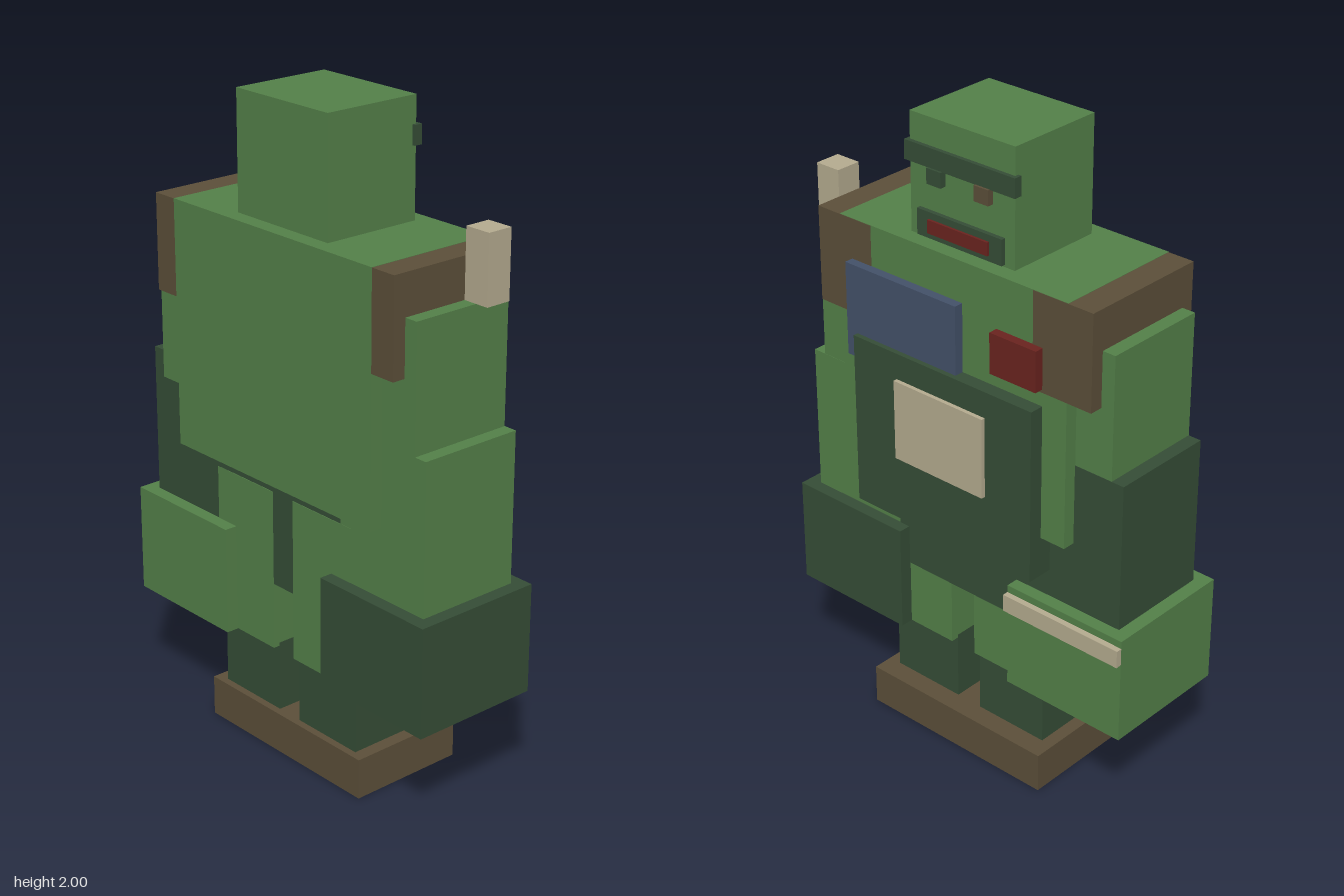
import * as THREE from 'three';

const material = (name, color) => {
  const m = new THREE.MeshStandardMaterial({ color });
  m.name = name;
  return m;
};

export function createModel() {
  const green = material('green', 0x55824a);
  const darkGreen = material('dark green', 0x364e37);
  const brown = material('brown', 0x5d503a);
  const bone = material('bone', 0xb7ad91);
  const blue = material('slate blue', 0x44526a);
  const red = material('dark red', 0x6b241f);

  const model = new THREE.Group();
  model.name = 'blockFigure';

  // Box given by its extents on each axis
  const box = (name, mat, [x0, x1], [y0, y1], [z0, z1], parent = model) => {
    const mesh = new THREE.Mesh(new THREE.BoxGeometry(x1 - x0, y1 - y0, z1 - z0), mat);
    mesh.position.set((x0 + x1) / 2, (y0 + y1) / 2, (z0 + z1) / 2);
    mesh.name = name;
    parent.add(mesh);
  };
  const part = (name) => {
    const g = new THREE.Group();
    g.name = name;
    model.add(g);
    return g;
  };
  // Extents mirrored to the given side
  const span = (s, a, b) => (s > 0 ? [a, b] : [-b, -a]);

  // Base, pelvis and torso
  box('base', brown, [-0.335, 0.335], [0, 0.127], [-0.18, 0.198]);
  box('pelvis', darkGreen, [-0.25, 0.25], [0.55, 0.9], [-0.142, 0.194]);
  box('torso', green, [-0.42, 0.42], [0.89, 1.645], [-0.181, 0.238]);

  // Limbs and shoulders
  for (const s of [1, -1]) {
    const side = s > 0 ? 'left' : 'right';
    const leg = part(side + 'Leg');
    box('shin', darkGreen, span(s, 0.045, 0.294), [0.127, 0.35], [-0.115, 0.175], leg);
    box('thigh', green, span(s, 0.045, 0.295), [0.34, 0.845], [-0.14, 0.196], leg);

    const arm = part(side + 'Arm');
    box('shoulderPad', brown, span(s, 0.3, 0.505), [1.35, 1.644], [-0.182, 0.237], arm);
    box('upperArm', green, span(s, 0.3, 0.548), [1.055, 1.52], [-0.14, 0.196], arm);
    box('forearm', s > 0 ? green : darkGreen, span(s, 0.25, 0.59), [0.6, 1.14], [-0.141, 0.195], arm);
    box('fist', s > 0 ? darkGreen : green, span(s, 0.213, 0.632), [0.34, 0.678], [-0.181, 0.237], arm);
  }
  box('shoulderSpike', bone, [0.505, 0.59], [1.52, 1.725], [-0.1, -0.018]);
  box('knuckleBand', bone, [-0.632, -0.213], [0.6, 0.655], [-0.2, -0.178]);

  // Chest plates on the face side (-z)
  box('bellyPlate', darkGreen, [-0.335, 0.335], [0.765, 1.308], [-0.226, -0.138]);
  box('bellyPanel', bone, [-0.167, 0.167], [0.975, 1.227], [-0.239, -0.22]);
  box('bluePatch', blue, [-0.045, 0.375], [1.23, 1.52], [-0.21, -0.178]);
  box('redPatch', red, [-0.335, -0.17], [1.36, 1.485], [-0.21, -0.178]);

  // Head with brow, eyes and mouth
  const head = part('headGroup');
  box('head', green, [-0.19, 0.19], [1.64, 2], [-0.13, 0.188], head);
  box('brow', darkGreen, [-0.2, 0.2], [1.86, 1.918], [-0.143, -0.117], head);
  box('leftEye', darkGreen, [0.06, 0.112], [1.815, 1.861], [-0.15, -0.128], head);
  box('rightEye', brown, [-0.112, -0.06], [1.815, 1.861], [-0.15, -0.128], head);
  box('mouth', darkGreen, [-0.155, 0.155], [1.652, 1.73], [-0.144, -0.128], head);
  box('tongue', red, [-0.11, 0.11], [1.67, 1.71], [-0.152, -0.14], head);

  return model;
}
